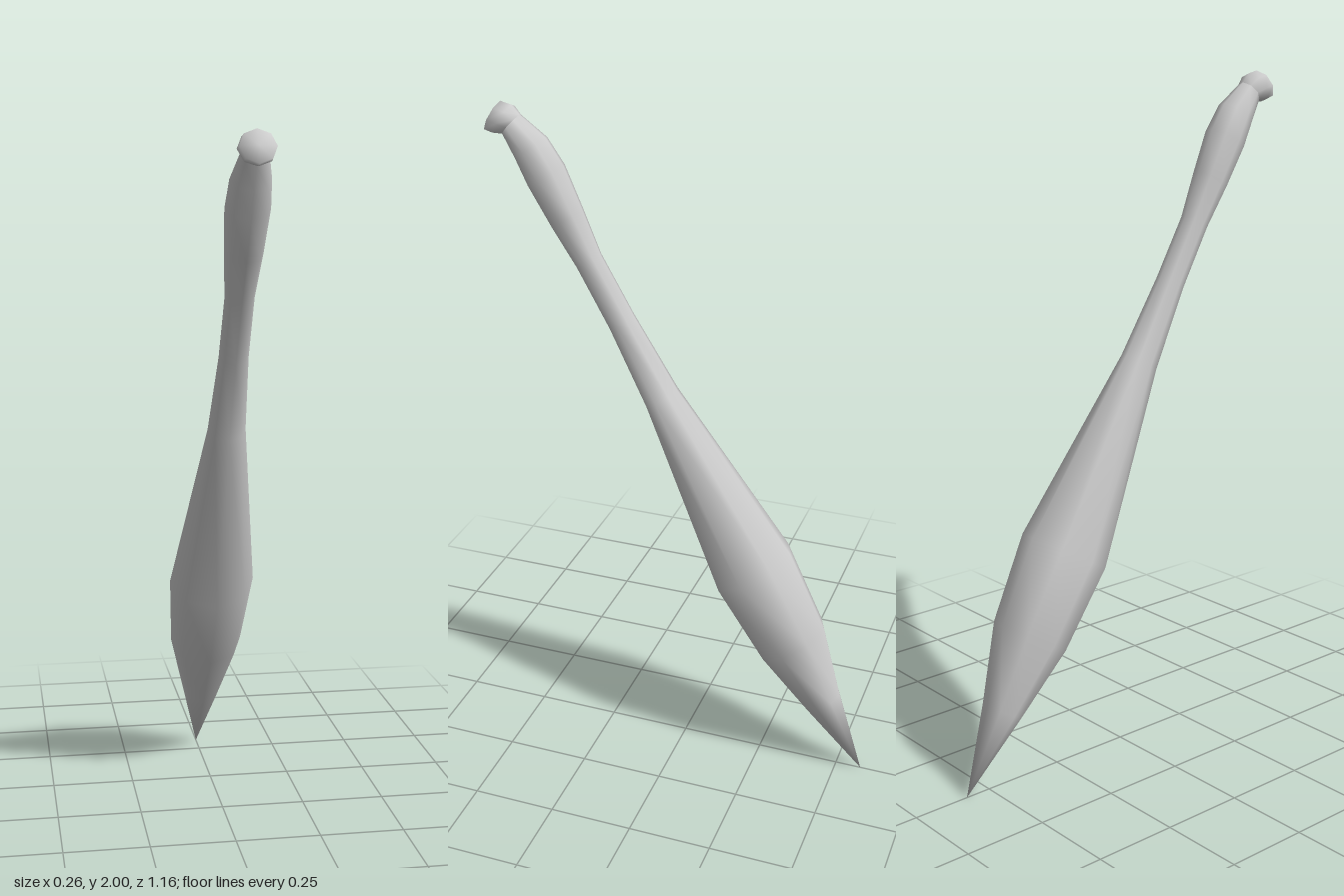
import * as THREE from 'three';
import { mergeVertices } from 'three/addons/utils/BufferGeometryUtils.js';

const SIDES = 8;
const LEAN = 0.525; // forward lean of the shaft, radians from vertical

// Smooth closed skin over rings given as [z, y, radius, lean], from bottom to top
function loft(name, rings) {
  const pos = [], index = [];
  rings.forEach(([z, y, r, lean = LEAN]) => {
    for (let j = 0; j < SIDES; j++) {
      const t = (j / SIDES) * Math.PI * 2, s = r * Math.sin(t);
      pos.push(r * Math.cos(t), y + s * Math.sin(lean), z - s * Math.cos(lean));
    }
  });
  for (let i = 0; i < rings.length - 1; i++) {
    for (let j = 0; j < SIDES; j++) {
      const a = i * SIDES + j, b = i * SIDES + ((j + 1) % SIDES);
      index.push(a, b, a + SIDES, b, b + SIDES, a + SIDES);
    }
  }
  let geo = new THREE.BufferGeometry();
  geo.setAttribute('position', new THREE.Float32BufferAttribute(pos, 3));
  geo.setIndex(index);
  geo = mergeVertices(geo); // one shared vertex at each pole
  geo.computeVertexNormals();
  const material = new THREE.MeshStandardMaterial({ color: 0xcccccc, side: THREE.DoubleSide });
  const mesh = new THREE.Mesh(geo, material);
  mesh.name = name;
  return mesh;
}

export function createModel() {
  const group = new THREE.Group();
  group.name = 'club';

  // Pointed heavy end, narrow waist and swelling grip
  const neck = [0.505, 1.938, 0.038, 0.85];
  group.add(loft('body', [
    [-0.578, 0, 0],
    [-0.447, 0.232, 0.06],
    [-0.343, 0.433, 0.112],
    [-0.215, 0.662, 0.13],
    [0.073, 1.18, 0.055],
    [0.193, 1.4, 0.042],
    [0.288, 1.57, 0.041],
    [0.35, 1.69, 0.053],
    [0.408, 1.805, 0.061],
    [0.45, 1.878, 0.055, 0.6],
    neck,
  ]));

  // Flared pommel bent forward, with a softly rounded end
  group.add(loft('pommel', [
    neck,
    [0.53, 1.95, 0.05, 1.0],
    [0.558, 1.957, 0.048, 1.1],
    [0.562, 1.959, 0, 1.1],
  ]));

  return group;
}
